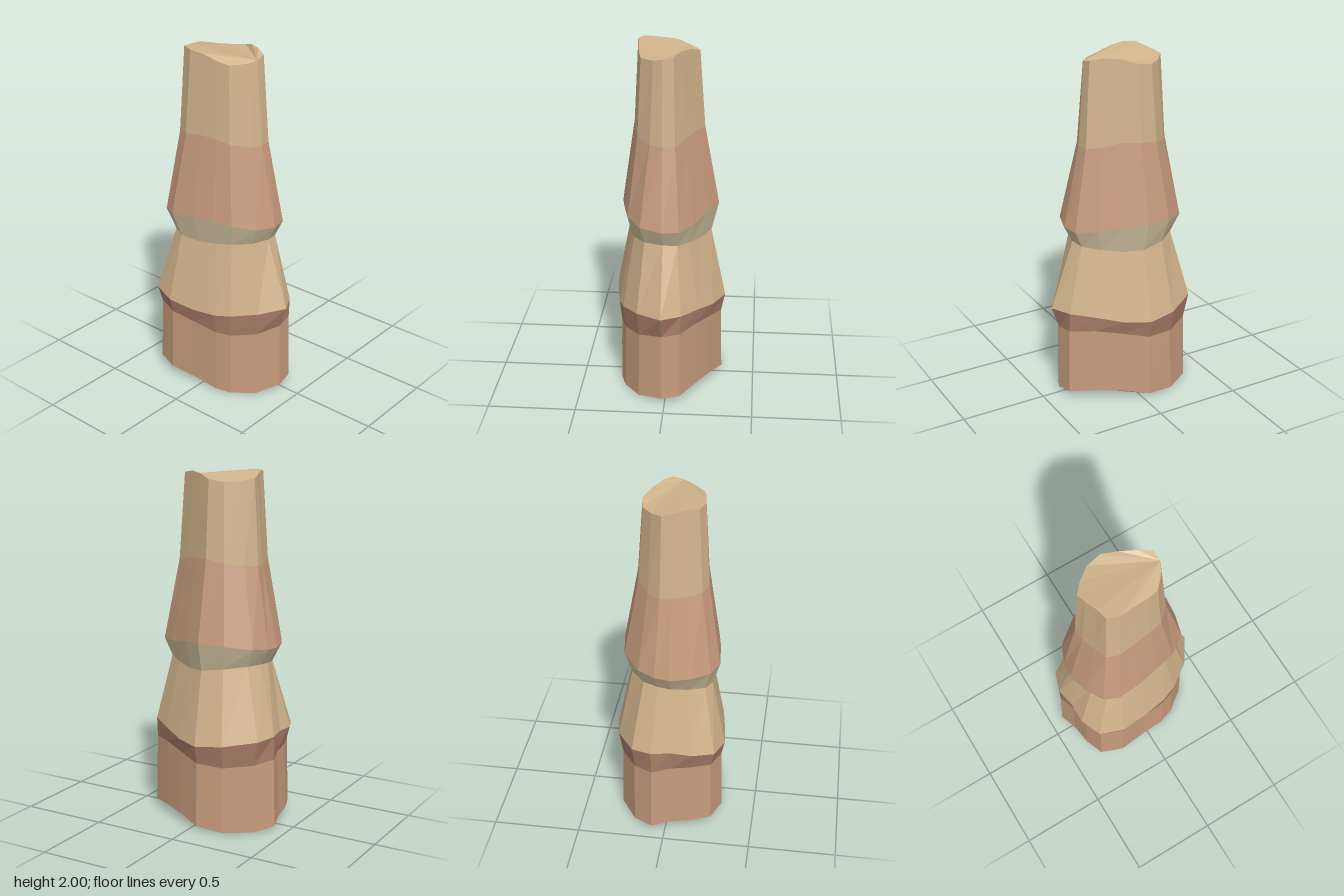
import * as THREE from 'three';

// Irregular outlines as [x, z] pairs, counterclockwise seen from above
const pairs = (a) => Array.from({ length: a.length / 2 }, (_, i) => [a[2 * i], a[2 * i + 1]]);
const foot = pairs([0.385, 0.02, 0.37, -0.085, 0.24, -0.17, 0.1, -0.245, -0.04, -0.31, -0.2, -0.285, -0.35, -0.19, -0.42, -0.08,
  -0.385, 0.03, -0.37, 0.15, -0.33, 0.26, -0.2, 0.31, -0.04, 0.29, 0.11, 0.275, 0.2, 0.245, 0.32, 0.155]);
const belly = pairs([0.42, 0.02, 0.36, -0.09, 0.24, -0.175, 0.105, -0.26, -0.04, -0.325, -0.2, -0.3, -0.37, -0.195, -0.41, -0.08,
  -0.39, 0.03, -0.39, 0.153, -0.337, 0.273, -0.2, 0.32, -0.04, 0.305, 0.11, 0.282, 0.2, 0.25, 0.33, 0.16]);
const collar = pairs([0.33, 0.02, 0.31, -0.075, 0.207, -0.15, 0.08, -0.22, -0.04, -0.28, -0.19, -0.255, -0.317, -0.16, -0.36, -0.063,
  -0.37, 0.022, -0.34, 0.138, -0.283, 0.24, -0.2, 0.282, -0.05, 0.27, 0.075, 0.248, 0.185, 0.22, 0.295, 0.142]);
const tip = pairs([0.195, 0.023, 0.19, -0.036, 0.12, -0.075, 0.04, -0.12, -0.04, -0.165, -0.128, -0.15, -0.2, -0.095, -0.253, -0.034,
  -0.238, 0.023, -0.213, 0.093, -0.2, 0.158, -0.134, 0.183, -0.05, 0.173, 0.035, 0.163, 0.105, 0.147, 0.17, 0.075]);

const scale = (o, s) => o.map(([x, z]) => [x * s, z * s]);
const mix = (a, b, t) => a.map(([x, z], i) => [x + (b[i][0] - x) * t, z + (b[i][1] - z) * t]);

// Lift an outline to a wavy ring: c raises the sides, s raises two opposite corners
function ring(outline, y, c, s) {
  return outline.map(([x, z]) => {
    const a = 2 * Math.atan2(z, x);
    return new THREE.Vector3(x, y + c * Math.cos(a) - s * Math.sin(a), z);
  });
}

function mesh(name, points, index, color) {
  const geometry = new THREE.BufferGeometry().setFromPoints(points);
  geometry.setIndex(index);
  geometry.computeVertexNormals();
  const m = new THREE.Mesh(geometry, new THREE.MeshStandardMaterial({ color, flatShading: true }));
  m.name = name;
  return m;
}

// Wall between two rings
function band(name, lower, upper, color) {
  const n = lower.length, index = [];
  for (let j = 0; j < n; j++) {
    const k = (j + 1) % n;
    index.push(j, k, n + k, j, n + k, n + j);
  }
  return mesh(name, [...lower, ...upper], index, color);
}

// End face fanned from the first corner
function cap(name, points, up, color) {
  const index = [];
  for (let j = 1; j < points.length - 1; j++) index.push(0, up ? j : j + 1, up ? j + 1 : j);
  return mesh(name, points, index, color);
}

export function createModel() {
  const group = new THREE.Group();
  group.name = 'bandedColumn';
  const tan = 0xd2b48c, clay = 0xc79b7d, umber = 0xaa7e6a, sand = 0xd2c2a0;

  const rings = [
    ring(foot, 0.0275, 0, 0.0275),
    ring(scale(foot, 0.975), 0.41, 0.012, 0.025),
    ring(belly, 0.522, 0.026, 0),
    ring(scale(collar, 0.855), 0.925, 0.015, -0.012),
    ring(collar, 1.055, -0.022, -0.008),
    ring(mix(tip, collar, 0.27), 1.515, -0.022, 0.004),
    ring(tip, 1.975, 0, 0.025),
  ];
  const bands = [
    ['base', clay], ['lowerRim', umber], ['lowerTaper', tan],
    ['collar', sand], ['upperTaper', clay], ['neck', tan],
  ];
  bands.forEach(([name, color], i) => group.add(band(name, rings[i], rings[i + 1], color)));
  group.add(cap('topFace', rings[6], true, tan), cap('bottomFace', rings[0], false, tan));
  return group;
}
